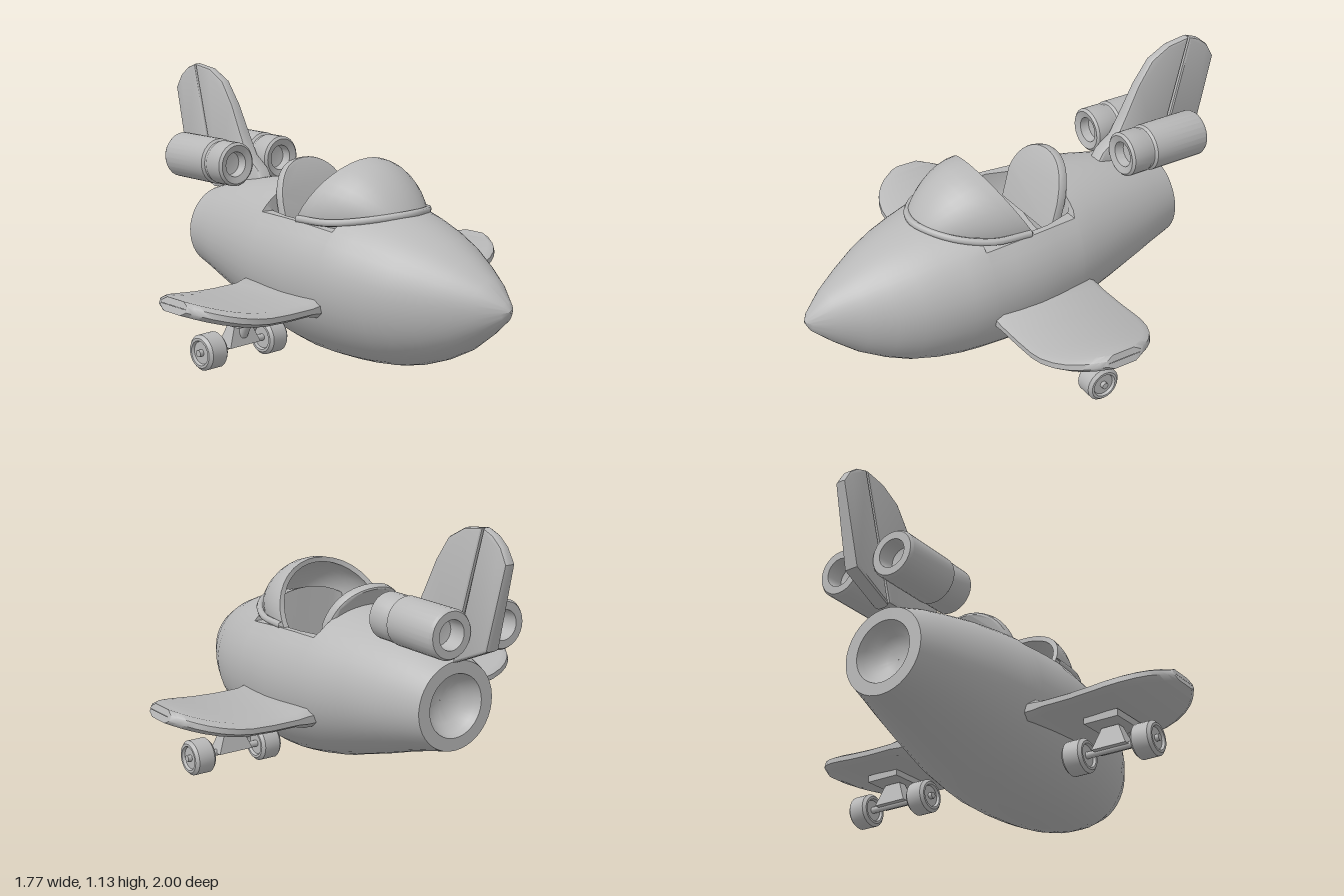
import * as THREE from 'three';
import { toCreasedNormals } from 'three/addons/utils/BufferGeometryUtils.js';

const grey = new THREE.MeshStandardMaterial({ color: 0xb8b8b8, side: THREE.DoubleSide });
grey.name = 'grey';

function part(name, geo, parent, x = 0, y = 0, z = 0) {
  const m = new THREE.Mesh(geo, grey);
  m.name = name;
  m.position.set(x, y, z);
  parent.add(m);
  return m;
}

// Skin a list of equal-length rings of [x, y, z] points
function loft(rings, closed, crease = 0.7) {
  const n = rings[0].length, index = [];
  for (let i = 0; i < rings.length - 1; i++) {
    for (let j = 0; j < (closed ? n : n - 1); j++) {
      const a = i * n + j, b = i * n + (j + 1) % n;
      index.push(a, a + n, b, b, a + n, b + n);
    }
  }
  const g = new THREE.BufferGeometry();
  g.setAttribute('position', new THREE.Float32BufferAttribute(rings.flat(2), 3));
  g.setIndex(index);
  return toCreasedNormals(g, crease);
}

// Fuselage ring; tub > 0 replaces the top arc with a sunken cockpit of that relative width
function bodyRing([z, top, bottom, w, yc, tub = 0]) {
  const a0 = 0.7, ring = [], low = 28, high = 16;
  for (let i = 0; i <= low; i++) {
    const a = a0 - (Math.PI + 2 * a0) * i / low, s = Math.sin(a);
    ring.push([w * Math.cos(a), yc + s * (s > 0 ? top - yc : yc - bottom), z]);
  }
  const xr = w * Math.cos(a0), yr = yc + Math.sin(a0) * (top - yc);
  for (let i = 1; i < high; i++) {
    if (tub) {
      const t = Math.PI * (i - 1) / (high - 2);
      ring.push([-xr * tub * Math.cos(t), yr - 0.2 * Math.max(0, Math.sin(t)) ** 0.6, z]);
    } else {
      const a = Math.PI - a0 - (Math.PI - 2 * a0) * i / high;
      ring.push([w * Math.cos(a), yc + Math.sin(a) * (top - yc), z]);
    }
  }
  return ring;
}

function fuselage() {
  const stations = [ // z, top, bottom, half width, centre height, cockpit width
    [1, 0.345, 0.335, 0.004, 0.34], [0.98, 0.375, 0.295, 0.035, 0.34], [0.9, 0.45, 0.22, 0.1, 0.34],
    [0.8, 0.51, 0.14, 0.17, 0.34], [0.7, 0.565, 0.085, 0.23, 0.34], [0.6, 0.605, 0.045, 0.28, 0.345],
    [0.5, 0.64, 0.02, 0.31, 0.35], [0.4, 0.665, 0.008, 0.337, 0.36], [0.31, 0.69, 0.002, 0.35, 0.37],
    [0.3, 0.69, 0.002, 0.351, 0.37, 0.6], [0.2, 0.7, 0, 0.36, 0.38, 0.82],
    [0.1, 0.71, 0.005, 0.362, 0.38, 0.9], [0, 0.71, 0.02, 0.355, 0.385, 0.9],
    [-0.12, 0.705, 0.045, 0.34, 0.39, 0.8], [-0.13, 0.705, 0.047, 0.339, 0.39],
    [-0.2, 0.7, 0.07, 0.325, 0.39], [-0.35, 0.68, 0.115, 0.29, 0.4], [-0.5, 0.65, 0.165, 0.25, 0.4],
    [-0.6, 0.625, 0.195, 0.22, 0.405], [-0.71, 0.587, 0.223, 0.185, 0.405],
  ];
  // Hollow tail opening
  for (const [z, r] of [[-0.71, 0.13], [-0.68, 0.12], [-0.64, 0.09], [-0.62, 0.05], [-0.612, 0.001]]) {
    stations.push([z, 0.405 + r, 0.405 - r, r, 0.405]);
  }
  return loft(stations.map(bodyRing), true);
}

// Hollow windscreen hood with a slanted rear edge
function windscreen() {
  const rings = [];
  const ring = (a, k) => {
    const r = [], s = Math.sin(a);
    for (let j = 0; j <= 20; j++) {
      const p = -0.12 + (Math.PI + 0.24) * j / 20, h = Math.sin(p);
      r.push([0.268 * k * s * Math.cos(p), 0.6 + 0.235 * k * s ** 1.6 * h,
        0.23 + 0.28 * k * Math.cos(a) - 0.14 * s * s * (1 - h)]);
    }
    rings.push(r);
  };
  for (let i = 0; i <= 10; i++) ring(0.05 + (Math.PI / 2 - 0.05) * i / 10, 1);
  for (let i = 10; i >= 0; i--) ring(0.05 + (Math.PI / 2 - 0.05) * i / 10, 0.91);
  return loft(rings, false);
}

// Flat wing with rounded, upturned tip
function wing() {
  const rings = [];
  const xs = [0.25, 0.335, 0.38, 0.5, 0.6, 0.66, 0.72, 0.77, 0.81, 0.84, 0.86, 0.875];
  xs.push(0.875);
  xs.forEach((x, i) => {
    const u = Math.max(0, x - 0.5), y = 0.274 + 0.48 * u * u, tilt = Math.atan(0.96 * u);
    const e = Math.max(0, (x - 0.6) / 0.285);
    const c = Math.max(0.08, 0.25 * Math.sqrt(1 - e * e));
    const t = i === xs.length - 1 ? 0.001 : x < 0.36 ? 0.08 : 0.056;
    const half = [[c - 0.03, 0.5], [c, 0.2], [c, -0.2], [c - 0.03, -0.5]];
    const pts = [...half, ...half.map(([z, h]) => [-z, -h])];
    rings.push(pts.map(([z, h]) => [x - h * t * Math.sin(tilt), y + h * t * Math.cos(tilt), 0.06 + z]));
  });
  return loft(rings, true, 0.8);
}

// Side-profile plate, outline in (z, y), tapering in thickness with height
function finPlate(points) {
  const shape = new THREE.Shape(points.map(([z, y]) => new THREE.Vector2(-z, y)));
  const g = new THREE.ExtrudeGeometry(shape, {
    depth: 0.03, bevelEnabled: true, bevelThickness: 0.015, bevelSize: 0.012, bevelOffset: -0.012, bevelSegments: 2,
  });
  g.translate(0, 0, -0.015);
  g.rotateY(Math.PI / 2);
  g.rotateY(0);
  const p = g.attributes.position;
  for (let i = 0; i < p.count; i++) {
    const y = p.getY(i);
    p.setX(i, p.getX(i) * (y < 0.75 ? 1.15 : 1.15 - (y - 0.75) * 1.3));
  }
  // Outline was drawn with -z, turned so that it points to the rear
  for (let i = 0; i < p.count; i++) p.setZ(i, -Math.abs(p.getZ(i)));
  return toCreasedNormals(g, 0.6);
}

function seatBack() {
  const s = new THREE.Shape();
  s.moveTo(-0.19, -0.12);
  s.lineTo(-0.19, 0.02);
  s.bezierCurveTo(-0.17, 0.13, -0.1, 0.19, 0, 0.19);
  s.bezierCurveTo(0.1, 0.19, 0.17, 0.13, 0.19, 0.02);
  s.lineTo(0.19, -0.12);
  // Thin steps across the width let the plate curve around the pilot
  const g = new THREE.ExtrudeGeometry(s, {
    depth: 0.025, curveSegments: 10, bevelEnabled: true, bevelThickness: 0.01, bevelSize: 0.01, bevelOffset: -0.01, bevelSegments: 2,
  });
  const p = g.attributes.position;
  for (let i = 0; i < p.count; i++) p.setZ(i, p.getZ(i) + 0.9 * p.getX(i) ** 2);
  return toCreasedNormals(g, 0.6);
}

// Skate truck with two wheels, centred under the wing
function truck(parent) {
  const g = new THREE.Group();
  g.name = 'truck';
  g.position.set(0.55, 0.127, 0.06);
  parent.add(g);
  part('basePlate', new THREE.BoxGeometry(0.155, 0.03, 0.18), g, 0, 0.108, 0);
  const hanger = new THREE.CylinderGeometry(0.055, 0.11, 0.09, 4, 1).rotateY(Math.PI / 4);
  hanger.scale(1, 1, 0.5);
  part('hanger', toCreasedNormals(hanger, 0.3), g, 0, 0.045, 0);
  part('kingpin', new THREE.CylinderGeometry(0.022, 0.022, 0.07, 12).rotateX(0.5), g, 0, 0.07, 0.035);
  part('axle', new THREE.CylinderGeometry(0.014, 0.014, 0.42, 12).rotateZ(Math.PI / 2), g);
  const profile = [[0.014, -0.036], [0.045, -0.036], [0.05, -0.047], [0.06, -0.047], [0.072, -0.035],
    [0.072, 0.035], [0.06, 0.047], [0.05, 0.047], [0.045, 0.036], [0.014, 0.036]];
  const wheel = new THREE.LatheGeometry(profile.map(([r, y]) => new THREE.Vector2(r, y)), 24).rotateZ(Math.PI / 2);
  for (const s of [-1, 1]) part('wheel', toCreasedNormals(wheel, 0.6), g, s * 0.157, 0, 0);
}

function thruster() {
  // Radius and z, from the front bore around the outside to the rear bore
  const profile = [[0.001, -0.5], [0.05, -0.49], [0.055, -0.45], [0.085, -0.44], [0.096, -0.45], [0.096, -0.535],
    [0.09, -0.545], [0.09, -0.555], [0.1, -0.565], [0.1, -0.82], [0.092, -0.832], [0.06, -0.832], [0.055, -0.76], [0.001, -0.75]];
  const g = new THREE.LatheGeometry(profile.map(([r, z]) => new THREE.Vector2(r, z)), 28).rotateX(Math.PI / 2);
  return toCreasedNormals(g, 0.6);
}

export function createModel() {
  const model = new THREE.Group();
  model.name = 'rocketPlane';
  part('fuselage', fuselage(), model);
  part('windscreen', windscreen(), model);

  // Lip where the windscreen meets the body
  const lip = new THREE.CatmullRomCurve3([[-0.27, 0.6, 0.1], [-0.25, 0.605, 0.27], [-0.16, 0.628, 0.42], [0, 0.645, 0.5],
    [0.16, 0.628, 0.42], [0.25, 0.605, 0.27], [0.27, 0.6, 0.1]].map((p) => new THREE.Vector3(...p)));
  part('windscreenLip', new THREE.TubeGeometry(lip, 32, 0.015, 8), model);

  part('seatBack', seatBack(), model, 0, 0.6, -0.137).rotation.x = -0.25;

  part('fin', finPlate([[-0.36, 0.6], [-0.42, 0.705], [-0.49, 0.755], [-0.54, 0.85], [-0.6, 0.97], [-0.67, 1.07],
    [-0.76, 1.118], [-0.862, 1.132], [-0.715, 0.6]]), model);
  part('rudder', finPlate([[-0.72, 0.585], [-0.867, 1.132], [-0.92, 1.112], [-0.965, 1.075], [-1, 1.015], [-0.915, 0.67]]), model);

  // Mirrored wing, truck and thruster on each side
  for (const s of [1, -1]) {
    const side = new THREE.Group();
    side.name = s > 0 ? 'leftSide' : 'rightSide';
    side.scale.x = s;
    part('wing', wing(), side);
    truck(side);
    part('thruster', thruster(), side, 0.13, 0.735, 0);
    model.add(side);
  }
  return model;
}
